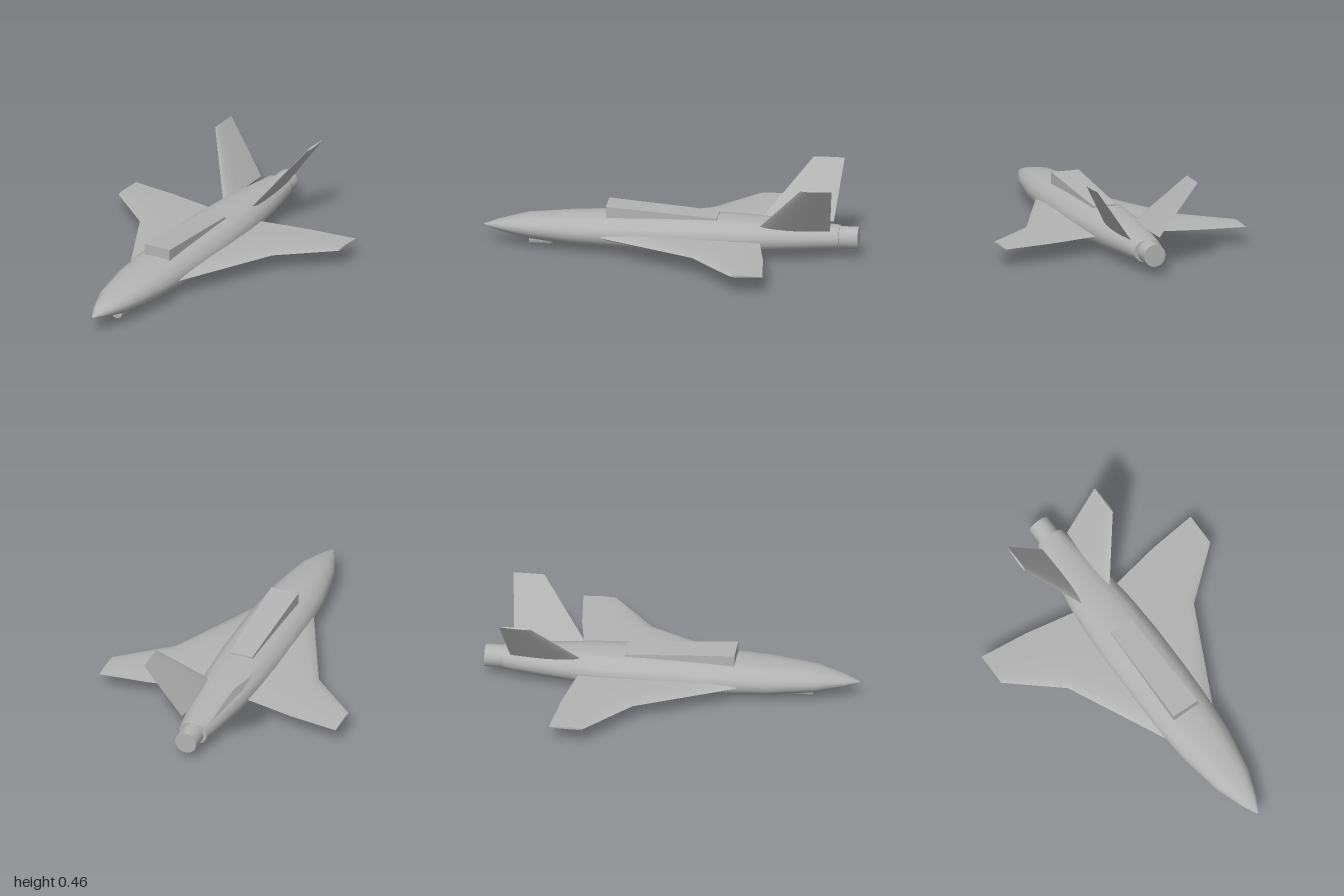
import * as THREE from 'three';
import { toCreasedNormals } from 'three/addons/utils/BufferGeometryUtils.js';

// Skin a closed solid over a list of equal-length loops of [x, y, z]
function loft(loops, crease = 0.8) {
  const n = loops[0].length, last = loops.length - 1;
  const tris = [];
  for (let i = 0; i < last; i++) {
    for (let j = 0; j < n; j++) {
      const k = (j + 1) % n;
      const a = loops[i][j], b = loops[i][k], c = loops[i + 1][k], d = loops[i + 1][j];
      tris.push([a, d, b], [b, d, c]);
    }
  }
  for (const [loop, end] of [[loops[0], false], [loops[last], true]]) {
    const mid = [0, 1, 2].map(q => loop.reduce((s, p) => s + p[q], 0) / n);
    loop.forEach((p, j) => {
      const next = loop[(j + 1) % n];
      tris.push(end ? [mid, next, p] : [mid, p, next]);
    });
  }
  // Turn the faces outward whatever the loop direction
  let volume = 0;
  const A = new THREE.Vector3(), B = new THREE.Vector3(), C = new THREE.Vector3();
  for (const [a, b, c] of tris) volume += A.fromArray(a).dot(B.fromArray(b).cross(C.fromArray(c)));
  if (volume < 0) tris.forEach(t => t.reverse());
  const geo = new THREE.BufferGeometry();
  geo.setAttribute('position', new THREE.Float32BufferAttribute(tris.flat(2), 3));
  return toCreasedNormals(geo, crease);
}

// Lifting surface; each station is [x, y, leading z, trailing z, half thickness]
const foil = [[0, 0], [0.04, 0.45], [0.15, 0.85], [0.35, 1], [0.7, 0.6], [1, 0.06],
  [0.7, -0.6], [0.35, -1], [0.15, -0.85], [0.04, -0.45]];
function surface(stations, normal, side) {
  return loft(stations.map(([x, y, lead, trail, half]) => foil.map(([t, h]) => [
    side * (x + normal[0] * h * half), y + normal[1] * h * half, lead + (trail - lead) * t])));
}

export function createModel() {
  const group = new THREE.Group();
  const grey = new THREE.MeshStandardMaterial({ color: 0xb3b3b3 });
  grey.name = 'airframe grey';
  const add = (name, geometry) => {
    const mesh = new THREE.Mesh(geometry, grey);
    mesh.name = name;
    group.add(mesh);
    return mesh;
  };

  // Fuselage: one chined section scaled along [z, half width, bottom, top]
  const half = [[0, -1], [0.33, -0.95], [0.62, -0.86], [0.88, -0.52], [1, -0.2], [1, 0.18],
    [0.9, 0.52], [0.64, 0.87], [0.33, 0.96], [0, 1]];
  const section = [...half, ...half.slice(1, -1).reverse().map(([x, y]) => [-x, y])];
  const stations = [
    [1, 0.003, 0.099, 0.104], [0.97, 0.02, 0.088, 0.115], [0.92, 0.046, 0.076, 0.131],
    [0.77, 0.1, 0.047, 0.167], [0.52, 0.144, 0.024, 0.187], [0.3, 0.159, 0.013, 0.197],
    [0.1, 0.164, 0.007, 0.201], [-0.15, 0.163, 0.009, 0.201], [-0.35, 0.154, 0.014, 0.198],
    [-0.5, 0.14, 0.021, 0.192], [-0.7, 0.113, 0.034, 0.18], [-0.85, 0.088, 0.045, 0.171],
    [-0.9, 0.078, 0.049, 0.168],
  ];
  add('fuselage', loft(stations.map(([z, w, lo, hi]) =>
    section.map(([x, y]) => [x * w, (lo + hi) / 2 + y * (hi - lo) / 2, z])), 0.95));

  // Exhaust nozzle
  const nozzle = add('nozzle', new THREE.CylinderGeometry(0.06, 0.06, 0.14, 24));
  nozzle.rotation.x = Math.PI / 2;
  nozzle.position.set(0, 0.107, -0.93);

  // Dorsal intake wedge
  const frame = (z, w, lo, hi) => [[-w, lo, z], [w, lo, z], [w, hi, z], [-w, hi, z]];
  add('dorsalIntake', loft([frame(0.34, 0.078, 0.16, 0.251), frame(-0.25, 0.065, 0.17, 0.206)], 0.3));

  // Chin sensor under the nose
  const sensor = add('chinSensor', new THREE.CylinderGeometry(0.035, 0.035, 0.12, 16));
  sensor.rotation.x = Math.PI / 2;
  sensor.position.set(0, 0.036, 0.695);

  // Cranked wings and canted tail fins
  for (const [label, side] of [['left', 1], ['right', -1]]) {
    add(label + 'Wing', surface([
      [0.09, 0.102, 0.505, -0.48, 0.024],
      [0.41, 0.1, -0.16, -0.54, 0.013],
      [0.68, 0.1, -0.39, -0.57, 0.006],
    ], [0, 1], side));
    add(label + 'Fin', surface([
      [0.081, 0.165, -0.47, -0.857, 0.011],
      [0.285, 0.455, -0.725, -0.89, 0.006],
    ], [-0.82, 0.57], side));
  }
  return group;
}
